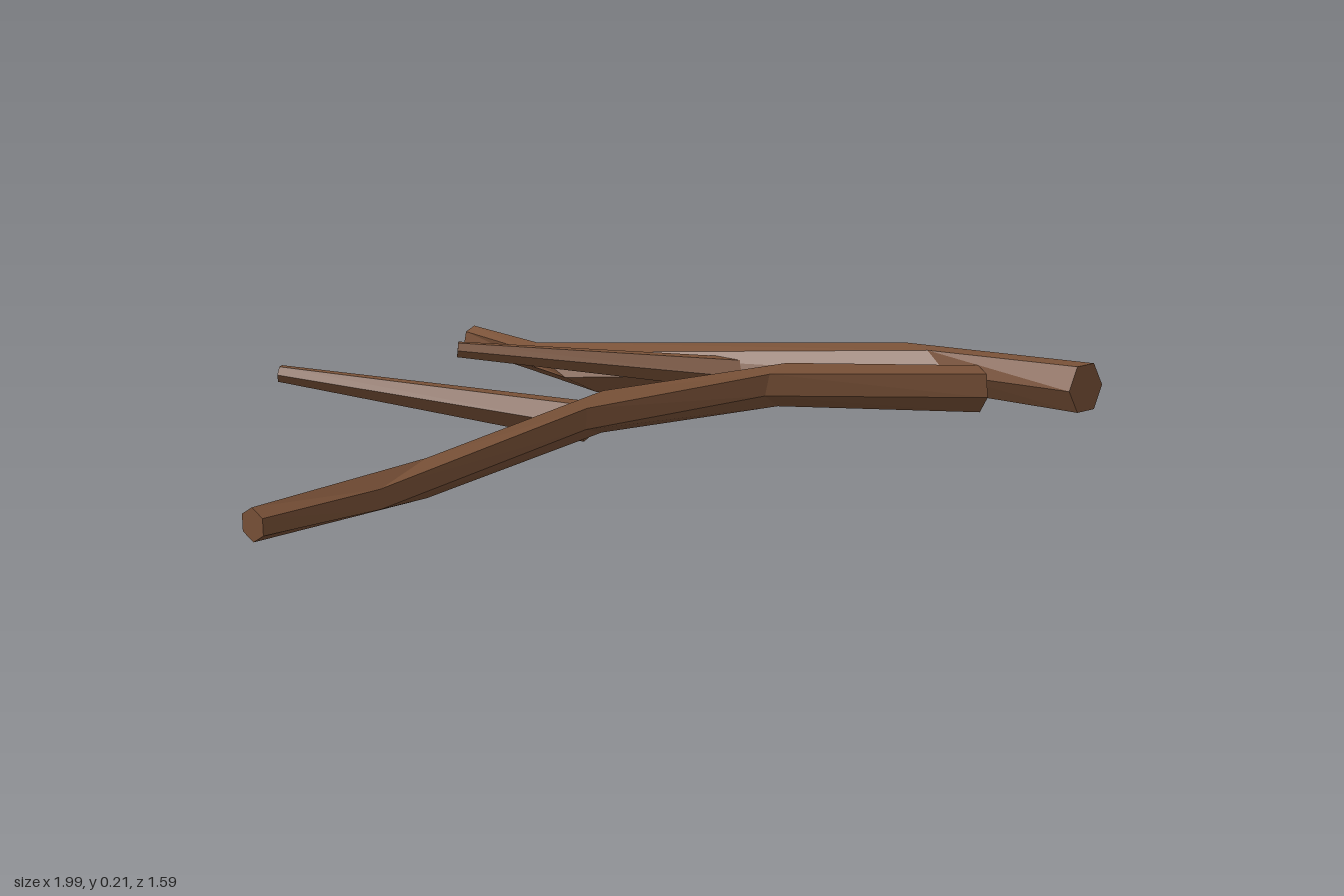
import * as THREE from 'three';

const SIDES = 6;
const Y = new THREE.Vector3(0, 1, 0);

// Tapered, faceted stick through rings: p centre, r radius, turn ring rotation,
// lean [sideways, vertical] slides the ring's corners along the stick
function stickGeometry(rings) {
  const centres = rings.map(q => new THREE.Vector3(...q.p));
  const pts = rings.map(({ r, turn = 0, lean = [0, 0] }, i) => {
    const c = centres[i];
    const t = new THREE.Vector3();
    if (i > 0) t.add(c.clone().sub(centres[i - 1]).normalize());
    if (i < rings.length - 1) t.add(centres[i + 1].clone().sub(c).normalize());
    t.normalize();
    const s = t.clone().cross(Y).normalize();
    const u = s.clone().cross(t);
    return Array.from({ length: SIDES }, (_, j) => {
      const a = turn + (j / SIDES) * Math.PI * 2;
      const cos = Math.cos(a), sin = Math.sin(a);
      return c.clone().addScaledVector(s, r * cos).addScaledVector(u, r * sin)
        .addScaledVector(t, lean[0] * cos + lean[1] * sin);
    });
  });
  const tris = [];
  const last = rings.length - 1;
  for (let j = 0; j < SIDES; j++) {
    const k = (j + 1) % SIDES;
    for (let i = 0; i < last; i++) {
      tris.push(pts[i][j], pts[i + 1][j], pts[i][k]);
      tris.push(pts[i][k], pts[i + 1][j], pts[i + 1][k]);
    }
    // end cuts
    tris.push(centres[0], pts[0][j], pts[0][k]);
    tris.push(centres[last], pts[last][k], pts[last][j]);
  }
  const g = new THREE.BufferGeometry().setFromPoints(tris);
  g.computeVertexNormals();
  return g;
}

export function createModel() {
  const group = new THREE.Group();
  const bark = new THREE.MeshStandardMaterial({ color: 0x7a5238 });
  bark.name = 'bark brown';

  const add = (name, rings) => {
    const mesh = new THREE.Mesh(stickGeometry(rings), bark);
    mesh.name = name;
    group.add(mesh);
  };

  // Long stick lying across the front
  add('frontStick', [
    { p: [0.80, 0.12, 0.44], r: 0.052, turn: 0.2 },
    { p: [0.345, 0.155, 0.385], r: 0.046, turn: 0.3, lean: [-0.065, 0] },
    { p: [-0.10, 0.14, 0.43], r: 0.043, turn: 0.4, lean: [-0.08, 0] },
    { p: [-0.56, 0.07, 0.59], r: 0.041, turn: 0.5, lean: [-0.18, 0] },
    { p: [-0.99, 0.05, 0.762], r: 0.035, turn: 0.52 },
  ]);
  add('frontTwig', [
    { p: [-0.13, 0.12, 0.425], r: 0.045 },
    { p: [-0.665, 0.19, 0.005], r: 0.019 },
  ]);

  // Second stick resting across the end of the first
  add('sideStick', [
    { p: [0.938, 0.15, 0.658], r: 0.058 },
    { p: [0.775, 0.137, 0.245], r: 0.053, turn: 0.1, lean: [0.085, 0.03] },
    { p: [0.225, 0.048, -0.50], r: 0.048, turn: 0.3, lean: [0, 0.1] },
    { p: [0.103, 0.08, -0.788], r: 0.029, turn: 0.4 },
  ]);
  add('sideTwig', [
    { p: [0.50, 0.08, -0.10], r: 0.041 },
    { p: [-0.11, 0.14, -0.355], r: 0.019 },
  ]);

  return group;
}
